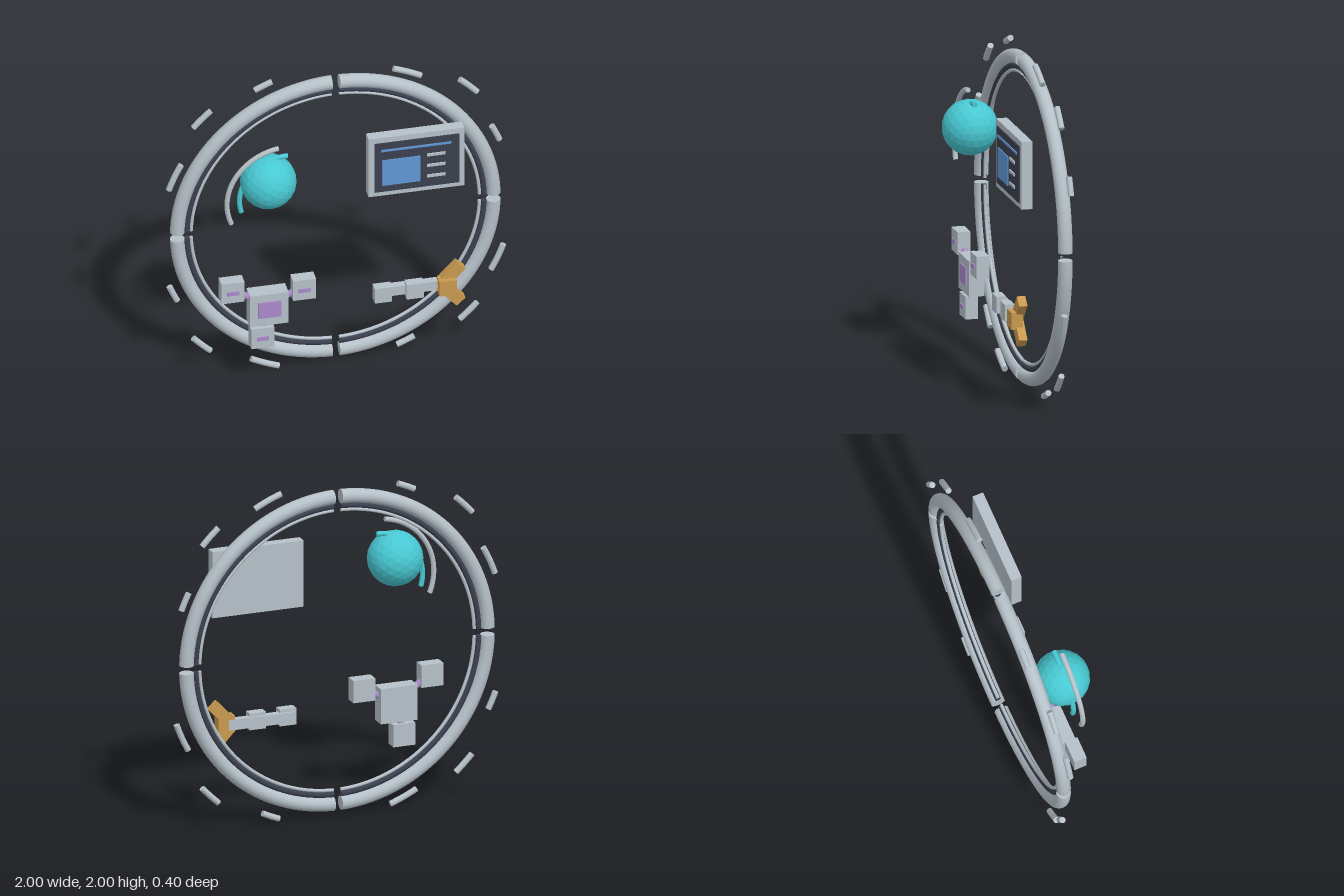
import * as THREE from 'three';
import { mergeGeometries } from 'three/addons/utils/BufferGeometryUtils.js';

const mat = (name, color, flatShading = false) => {
  const m = new THREE.MeshStandardMaterial({ color, flatShading });
  m.name = name;
  return m;
};

export function createModel() {
  const grey = mat('pale grey', 0xb5c0c8);
  const dark = mat('dark slate', 0x3b3f4e);
  const teal = mat('teal', 0x48c8d2);
  const tealFaceted = teal;
  const blue = mat('blue', 0x5f97d4);
  const purple = mat('purple', 0xaa8acb);
  const tan = mat('tan', 0xc8994f);

  const model = new THREE.Group();
  model.name = 'ringDisplay';
  const rad = THREE.MathUtils.degToRad;

  const group = (name) => {
    const g = new THREE.Group();
    g.name = name;
    model.add(g);
    return g;
  };
  const add = (parent, name, geometry, material, x = 0, y = 0, z = 0) => {
    const m = new THREE.Mesh(geometry, material);
    m.name = name;
    m.position.set(x, y, z);
    parent.add(m);
    return m;
  };
  // Box given by centre x, y, size w, h and its back and front z
  const box = (parent, name, material, x, y, w, h, z0, z1) =>
    add(parent, name, new THREE.BoxGeometry(w, h, z1 - z0), material, x, y, (z0 + z1) / 2);

  // Round bar bent along a circle from angle a to b (radians), with flat end caps
  const arcBar = (R, r, a, b, segments) => {
    const body = new THREE.TorusGeometry(R, r, 16, segments, b - a).rotateZ(a);
    const caps = [[a, -1], [b, 1]].map(([t, s]) =>
      new THREE.CircleGeometry(r, 16)
        .lookAt(new THREE.Vector3(-Math.sin(t) * s, Math.cos(t) * s, 0))
        .translate(R * Math.cos(t), R * Math.sin(t), 0));
    return mergeGeometries([body, ...caps]);
  };

  // Four ring quarters, each with inner rails and three floating dashes
  const cy = 1.003;
  const rails = [
    ['outerTube', 0.928, 0.042, grey],
    ['darkRail', 0.872, 0.017, dark],
    ['innerRail', 0.846, 0.01, grey],
  ];
  const dashes = [
    ['shortDash', 1.035, 23.8, 6.2, -0.18],
    ['middleDash', 1.108, 45, 7.4, -0.16],
    ['longDash', 1.037, 66.2, 9.8, -0.138],
  ];
  for (let q = 0; q < 4; q++) {
    const quarter = group('ringQuarter' + (q + 1));
    quarter.position.y = cy;
    quarter.rotation.z = q * Math.PI / 2;
    for (const [name, R, r, m] of rails) {
      const gap = 0.022 / R;
      add(quarter, name, arcBar(R, r, gap, Math.PI / 2 - gap, 40), m, 0, 0, -0.157);
    }
    for (const [name, R, mid, span, z] of dashes)
      add(quarter, name, arcBar(R, 0.018, rad(mid - span / 2), rad(mid + span / 2), 6), grey, 0, 0, z);
  }

  // Faceted globe with two orbit arcs
  const globe = group('globe');
  add(globe, 'sphere', new THREE.IcosahedronGeometry(0.163, 3), tealFaceted, -0.438, 1.44, 0.042);
  add(globe, 'outerOrbit', arcBar(0.352, 0.015, rad(98), rad(202), 32), grey, -0.334, 1.326, 0.067);
  add(globe, 'innerOrbit', arcBar(0.273, 0.015, rad(88), rad(196), 32), teal, -0.334, 1.326, 0.042);

  // Screen panel with a header line, a picture block and three text bars
  const screen = group('screen');
  box(screen, 'frame', grey, 0.431, 1.44, 0.562, 0.4, -0.02, 0.045);
  box(screen, 'display', dark, 0.433, 1.438, 0.497, 0.335, 0.045, 0.052);
  box(screen, 'headerLine', blue, 0.428, 1.556, 0.412, 0.013, 0.051, 0.058);
  box(screen, 'pictureBlock', blue, 0.34, 1.403, 0.225, 0.175, 0.051, 0.058);
  for (const y of [1.49, 1.417, 1.344])
    box(screen, 'textBar', grey, 0.545, y, 0.108, 0.017, 0.051, 0.06);

  // Hub block linked to three smaller blocks
  const cluster = group('blockCluster');
  const hub = [-0.44, 0.57];
  box(cluster, 'hub', grey, ...hub, 0.226, 0.212, -0.015, 0.078);
  box(cluster, 'hubPlate', purple, -0.438, 0.572, 0.134, 0.107, 0.077, 0.085);
  for (const [x, y] of [[-0.652, 0.715], [-0.232, 0.675], [-0.478, 0.377]]) {
    box(cluster, 'node', grey, x, y, 0.135, 0.135, 0, 0.076);
    box(cluster, 'nodePlate', purple, x, y - 0.002, 0.07, 0.024, 0.075, 0.083);
    const dx = x - hub[0], dy = y - hub[1];
    const link = add(cluster, 'link', new THREE.CylinderGeometry(0.02, 0.02, Math.hypot(dx, dy), 12),
      purple, hub[0] + dx / 2, hub[1] + dy / 2, 0.035);
    link.rotation.z = Math.atan2(dy, dx) - Math.PI / 2;
  }

  // Jointed arm with a forked gripper
  const arm = group('arm');
  const ay = 0.568;
  box(arm, 'bar', grey, 0.395, ay, 0.41, 0.062, 0.005, 0.05);
  for (const x of [0.23, 0.417]) box(arm, 'joint', grey, x, ay, 0.101, 0.1, 0.02, 0.078);
  box(arm, 'wrist', tan, 0.607, ay, 0.101, 0.1, 0.022, 0.09);
  for (const s of [1, -1]) {
    const finger = box(arm, 'finger', tan, 0.63, ay + s * 0.06, 0.177, 0.07, 0.01, 0.06);
    finger.rotation.z = s * rad(47);
  }

  // Give the globe its facets
  const sphere = globe.getObjectByName('sphere');
  sphere.geometry = sphere.geometry.index ? sphere.geometry.toNonIndexed() : sphere.geometry;
  sphere.geometry.computeVertexNormals();

  return model;
}
